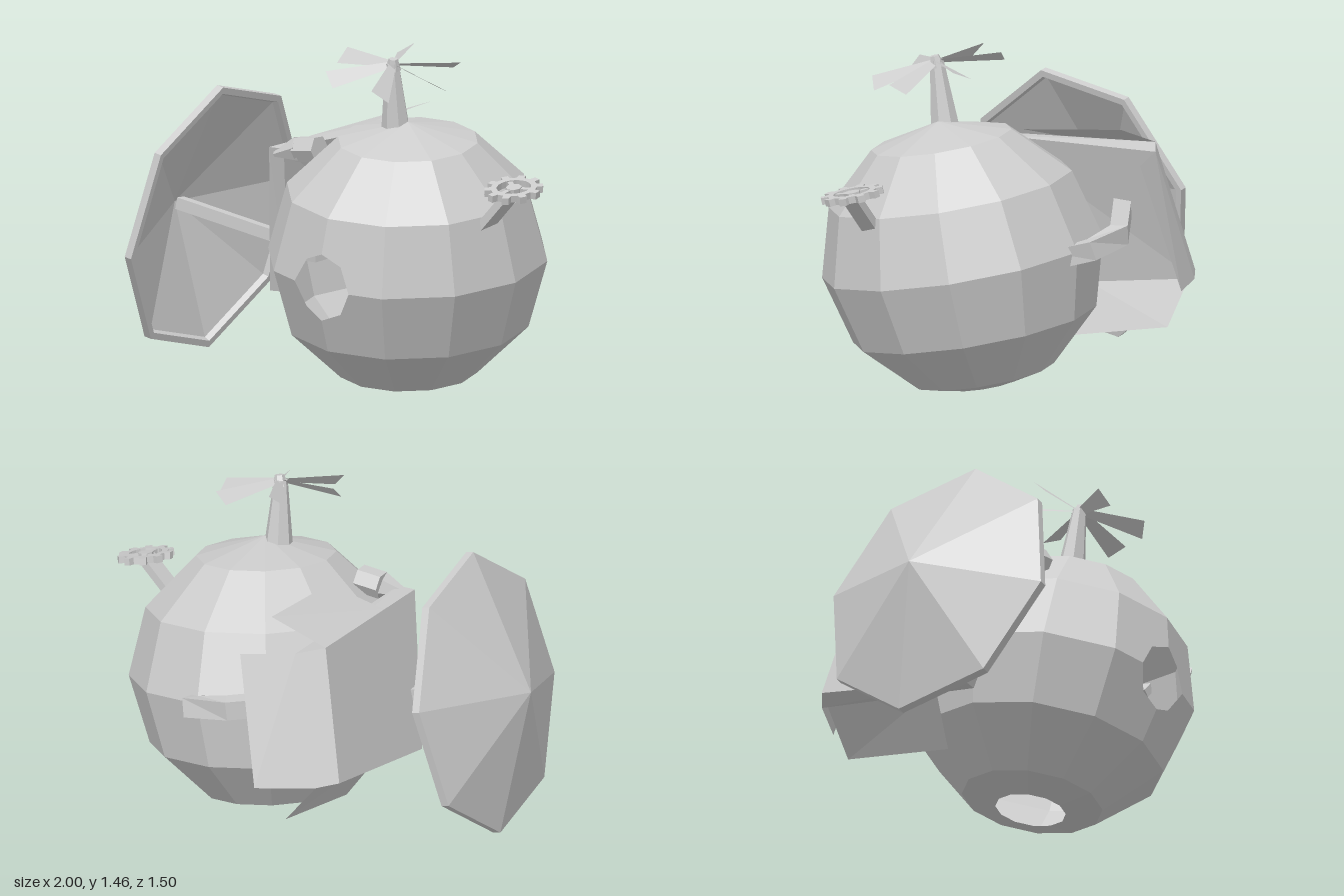
import * as THREE from 'three';

const V = (x, y, z) => new THREE.Vector3(x, y, z);
const UP = V(0, 1, 0);
const mat = new THREE.MeshStandardMaterial({ color: 0xcccccc, flatShading: true, side: THREE.DoubleSide });

function mesh(geo, name) {
  const m = new THREE.Mesh(geo, mat);
  m.name = name;
  return m;
}

// Geometry from a list of convex polygons (fans of Vector3 corners)
function fromPolygons(polys) {
  const pts = [];
  for (const p of polys)
    for (let k = 1; k < p.length - 1; k++) pts.push(p[0], p[k], p[k + 1]);
  const g = new THREE.BufferGeometry().setFromPoints(pts);
  g.computeVertexNormals();
  return g;
}

// Straight tapered bar between two points; sides = 4 gives a square section
function bar(a, b, r0, r1, sides, name) {
  const g = new THREE.CylinderGeometry(r1, r0, a.distanceTo(b), sides, 1);
  if (sides === 4) g.rotateY(Math.PI / 4);
  const m = mesh(g, name);
  m.position.copy(a).lerp(b, 0.5);
  m.quaternion.setFromUnitVectors(UP, b.clone().sub(a).normalize());
  return m;
}

// Rectangular pipe with mitred bends along a path
function bentPipe(path, w, h, name) {
  const loops = path.map((c, i) => {
    const t = path[Math.min(i + 1, path.length - 1)].clone().sub(path[Math.max(i - 1, 0)]).normalize();
    const side = t.clone().cross(UP).normalize(), up = side.clone().cross(t);
    return [[1, 1], [-1, 1], [-1, -1], [1, -1]].map(([s, u]) =>
      c.clone().addScaledVector(side, s * w).addScaledVector(up, u * h));
  });
  const polys = [loops[0], [...loops[loops.length - 1]].reverse()];
  for (let i = 0; i < loops.length - 1; i++)
    for (let k = 0; k < 4; k++) {
      const n = (k + 1) % 4;
      polys.push([loops[i][n], loops[i][k], loops[i + 1][k], loops[i + 1][n]]);
    }
  return mesh(fromPolygons(polys), name);
}

// Faceted ball with an octagonal porthole at the front and an opening below
function ballGeometry(R, seg, rings) {
  const raw = (i, j) => {
    const t = (i / seg) * Math.PI * 2, p = (j / rings) * Math.PI;
    return V(R * Math.sin(p) * Math.sin(t), R * Math.cos(p), R * Math.sin(p) * Math.cos(t));
  };
  const at = (i, j) => (j === rings ? raw(i, j).lerp(raw(i, j - 1), 0.5) : raw(i, j));
  const polys = [];
  for (let j = 0; j < rings; j++)
    for (let i = 0; i < seg; i++) {
      const ids = [[i, j], [i, j + 1], [i + 1, j + 1], [i + 1, j]];
      let q = ids.map(([a, b]) => at(a, b));
      const k = ids.findIndex(([a, b]) => a % seg === 0 && b === rings / 2);
      if (j === 0) polys.push(q.slice(0, 3));
      else if (k < 0) polys.push(q);
      else {
        // Cut this corner away to form a quarter of the porthole
        q = [0, 1, 2, 3].map(n => q[(k + n) % 4]);
        const cut = (n, f) => q[0].clone().lerp(q[n], f);
        polys.push([q[2], q[3], cut(3, 0.5), cut(2, 0.36), cut(1, 0.5), q[1]]);
      }
    }
  return fromPolygons(polys);
}

// Six pitched, slightly drooping blades
function propeller() {
  const g = new THREE.Group();
  g.name = 'propeller';
  const s = new THREE.Shape([[0, -0.015], [0.29, -0.045], [0.29, 0.045], [0, 0.015]]
    .map(p => new THREE.Vector2(...p)));
  const geo = new THREE.ShapeGeometry(s).rotateX(-Math.PI / 2 - 0.6).rotateZ(-0.13);
  for (let i = 0; i < 6; i++) {
    const blade = mesh(geo, 'propellerBlade');
    blade.rotation.y = -0.06 + (i * Math.PI) / 3;
    g.add(blade);
  }
  g.add(mesh(new THREE.CylinderGeometry(0.02, 0.035, 0.05, 6), 'propellerHub'));
  g.position.set(0.245, 1.405, 0.235);
  g.rotation.set(0.18, 0, -0.16);
  return g;
}

function gear() {
  const g = new THREE.Group();
  g.name = 'gear';
  const teeth = 10, pts = [];
  for (let i = 0; i < teeth; i++)
    [[0, 0.115], [0.08, 0.145], [0.47, 0.145], [0.55, 0.115]].forEach(([f, r]) => {
      const a = ((i + f) / teeth) * Math.PI * 2;
      pts.push(new THREE.Vector2(r * Math.cos(a), r * Math.sin(a)));
    });
  const shape = new THREE.Shape(pts);
  shape.holes.push(new THREE.Path().absarc(0, 0, 0.085, 0, Math.PI * 2, true));
  const opt = { depth: 0.03, bevelEnabled: false, curveSegments: 10 };
  g.add(mesh(new THREE.ExtrudeGeometry(shape, opt).translate(0, 0, -0.015).rotateX(-Math.PI / 2), 'gearRing'));
  for (let i = 0; i < 3; i++) {
    const spoke = mesh(new THREE.BoxGeometry(0.09, 0.022, 0.025).translate(0.045, 0, 0), 'gearSpoke');
    spoke.rotation.y = 0.5 + (i * Math.PI * 2) / 3;
    g.add(spoke);
  }
  g.add(mesh(new THREE.CylinderGeometry(0.04, 0.04, 0.03, 8), 'gearHub'));
  g.position.set(0.885, 0.92, 0.215);
  g.rotation.set(0.17, 0, -0.17);
  g.scale.x = 0.78;
  return g;
}

function dish() {
  const profile = [[0, 0.245], [0.61, 0.025], [0.61, -0.01], [0.58, -0.01], [0.57, 0.015], [0, 0.22]];
  const geo = new THREE.LatheGeometry(profile.map(p => new THREE.Vector2(...p)), 8);
  geo.rotateY(Math.PI / 2 - 0.2);
  // Lay the bowl on its side so that its back faces away from the ball
  geo.rotateZ(Math.PI / 2 - 0.215);
  const m = mesh(geo, 'dish');
  m.scale.z = 0.92;
  m.position.set(-0.76, 0.65, 0.195);
  return m;
}

// Thick slanted side panel with three thin flaps
function sidePanel() {
  const g = new THREE.Group();
  g.name = 'sidePanel';
  const outer = [V(-0.5, 0.35, 0.14), V(-0.37, 1.0, 0.31), V(-0.37, 1.04, -0.475), V(-0.5, 0.48, -0.59)];
  const inner = [V(-0.41, 0.35, 0.13), V(-0.29, 1.0, 0.31), V(-0.265, 1.02, -0.55), V(-0.41, 0.46, -0.65)];
  const polys = [outer, [...inner].reverse()];
  for (let i = 0; i < 4; i++) {
    const n = (i + 1) % 4;
    polys.push([outer[n], outer[i], inner[i], inner[n]]);
  }
  g.add(mesh(fromPolygons(polys), 'panelBody'));
  const flaps = {
    topFlap: [V(-0.37, 1.015, 0.04), V(-0.11, 1.08, 0.03), V(-0.11, 1.13, -0.48), V(-0.37, 1.04, -0.475)],
    backFlap: [V(-0.265, 1.02, -0.55), V(-0.04, 1.0, -0.63), V(-0.175, 0.45, -0.75), V(-0.41, 0.46, -0.65)],
    bottomFlap: [V(-0.42, 0.4, -0.06), V(-0.265, 0.18, -0.1), V(-0.255, 0.27, -0.62), V(-0.42, 0.47, -0.62)],
  };
  for (const [name, quad] of Object.entries(flaps)) g.add(mesh(fromPolygons([quad]), name));
  return g;
}

export function createModel() {
  const model = new THREE.Group();
  model.name = 'flyingPod';

  const ball = mesh(ballGeometry(0.595, 12, 6), 'ball');
  ball.position.set(0.225, 0.57, 0.11);
  ball.rotation.set(0.135, -0.025, -0.11);
  ball.scale.z = 1.04;
  model.add(ball);

  // Propeller on its mast
  model.add(bar(V(0.23, 1.1, 0.195), V(0.24, 1.41, 0.235), 0.065, 0.03, 7, 'propellerMast'), propeller());

  // Gear on a flat arm
  const arm = mesh(new THREE.BoxGeometry(0.26, 0.035, 0.085), 'gearArm');
  arm.position.set(0.795, 0.815, 0.222);
  arm.rotation.z = 0.8;
  model.add(arm, gear());

  // Dish, its rod and the side panel
  model.add(dish(), bar(V(-0.96, 0.69, 0.18), V(-0.43, 0.59, 0.16), 0.036, 0.036, 4, 'dishRod'), sidePanel());

  // Links between panel and ball
  model.add(bar(V(-0.345, 0.97, 0.305), V(-0.23, 1.0, 0.28), 0.012, 0.06, 6, 'panelHornTip'));
  model.add(bar(V(-0.23, 1.0, 0.28), V(-0.12, 1.01, 0.28), 0.06, 0.06, 6, 'panelHorn'));
  model.add(bar(V(-0.43, 0.54, 0.08), V(-0.25, 0.54, 0.1), 0.06, 0.06, 4, 'panelStrut'));

  // Bent pipe behind the ball
  const path = [V(-0.36, 0.74, -0.31), V(0.05, 0.71, -0.585), V(0.23, 0.67, -0.57), V(0.25, 0.61, -0.38)];
  model.add(bentPipe(path, 0.038, 0.042, 'backPipe'));

  return model;
}
